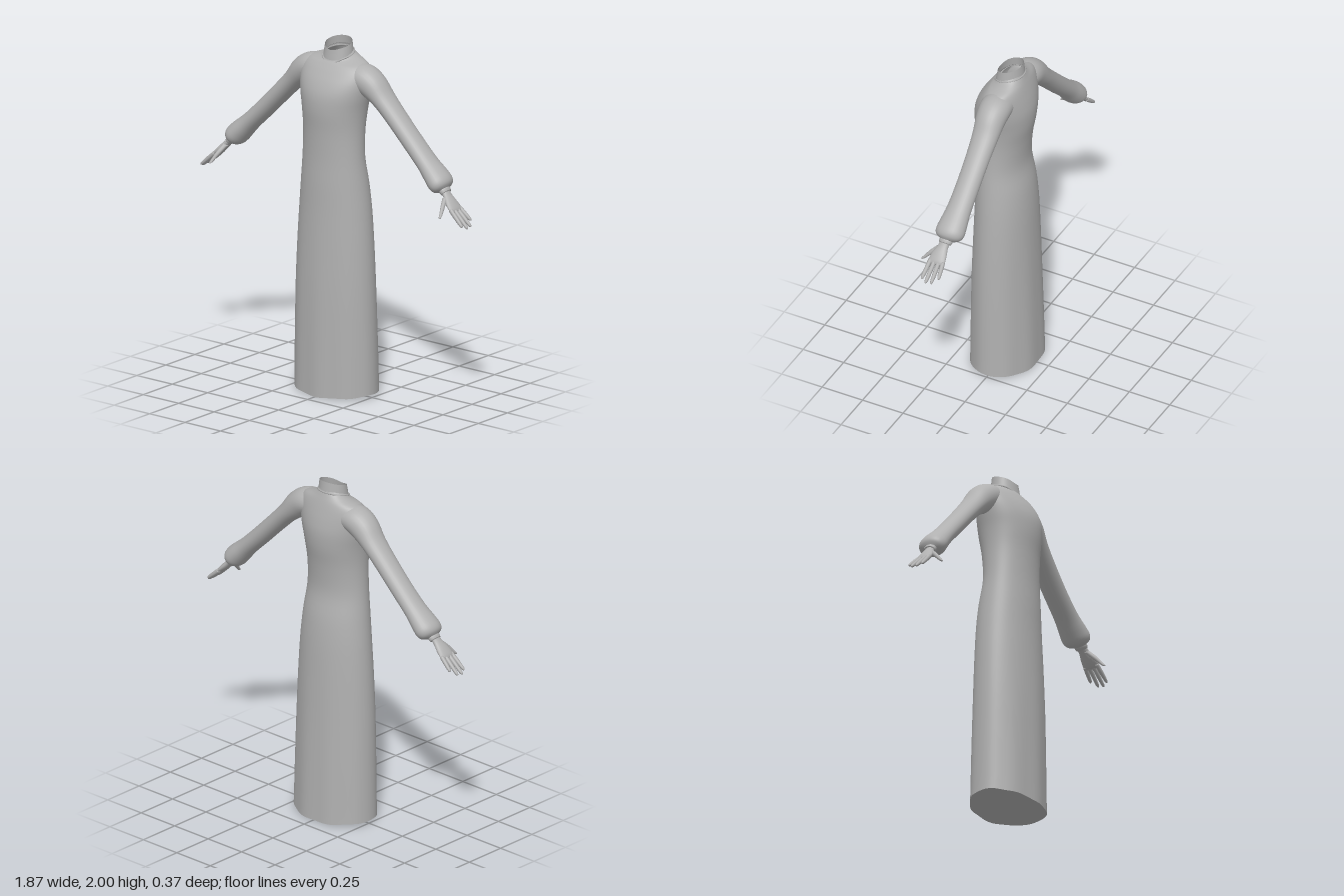
import * as THREE from 'three';

const cloth = new THREE.MeshStandardMaterial({ color: 0xb0b0b0, side: THREE.DoubleSide });
cloth.name = 'plain grey';

// Catmull-Rom blend between q and r
function blend(p, q, r, s, t) {
  const cubic = 3 * (q - r) + s - p;
  const square = 2 * p - 5 * q + 4 * r - s;
  return q + 0.5 * t * (r - p + t * (square + t * cubic));
}

// Smooth rows of numbers column by column
function smooth(rows, steps = 4) {
  const out = [], last = rows.length - 1;
  for (let i = 0; i < last; i++) {
    const p = rows[Math.max(0, i - 1)], q = rows[i], r = rows[i + 1], s = rows[Math.min(last, i + 2)];
    for (let k = 0; k < steps; k++) {
      out.push(q.map((v, c) => blend(p[c], v, r[c], s[c], k / steps)));
    }
  }
  out.push(rows[last]);
  return out;
}

// Skin closed rings of [x, y, z] points; side = -1 mirrors in x
function loft(name, rings, { side = 1, caps = false } = {}) {
  const n = rings[0].length, pos = [], index = [];
  const tri = (a, b, c) => (side > 0 ? index.push(a, b, c) : index.push(a, c, b));
  rings.forEach((ring) => ring.forEach(([x, y, z]) => pos.push(x * side, y, z)));
  for (let i = 0; i < rings.length - 1; i++) {
    for (let j = 0; j < n; j++) {
      const a = i * n + j, b = i * n + (j + 1) % n;
      tri(a, a + n, b);
      tri(b, a + n, b + n);
    }
  }
  if (caps) {
    [0, rings.length - 1].forEach((i) => {
      const c = pos.length / 3;
      const mid = [0, 1, 2].map((k) => rings[i].reduce((sum, p) => sum + p[k], 0) / n);
      pos.push(mid[0] * side, mid[1], mid[2]);
      for (let j = 0; j < n; j++) {
        const a = i * n + j, b = i * n + (j + 1) % n;
        if (i === 0) tri(c, a, b); else tri(c, b, a);
      }
    });
  }
  const g = new THREE.BufferGeometry();
  g.setAttribute('position', new THREE.Float32BufferAttribute(pos, 3));
  g.setIndex(index);
  g.computeVertexNormals();
  const mesh = new THREE.Mesh(g, cloth);
  mesh.name = name;
  return mesh;
}

// Limb along rows of [x, y, z, half thickness, half width in z]
function limb(name, rows, side, n = 20) {
  const path = smooth(rows);
  const rings = path.map(([x, y, z, a, b], i) => {
    const p = path[Math.max(0, i - 1)], q = path[Math.min(path.length - 1, i + 1)];
    const dx = q[0] - p[0], dy = q[1] - p[1], len = Math.hypot(dx, dy);
    return Array.from({ length: n }, (_, j) => {
      const t = (j / n) * Math.PI * 2, u = a * Math.cos(t);
      return [x + (u * dy) / len, y - (u * dx) / len, z + b * Math.sin(t)];
    });
  });
  return loft(name, rings, { side, caps: true });
}

const SIDES = 64;
const angles = Array.from({ length: SIDES }, (_, j) => (j / SIDES) * Math.PI * 2);

// Gown section: height, half width, front z, back z, tilt towards the front
function gownRing([y, w, zf, zb, tilt]) {
  const hem = Math.max(0, 1 - y / 1.1);
  return angles.map((t) => {
    const ripple = 1 + 0.016 * hem * Math.sin(9 * t + 0.6) * Math.abs(Math.sin(t));
    const lift = y < 0.01 ? 0.018 * Math.cos(t) ** 2 + 0.002 * (1 + Math.sin(7 * t)) : 0;
    return [
      w * ripple * Math.cos(t),
      y + lift - tilt * Math.sin(t),
      (zf + zb) / 2 + ((zf - zb) / 2) * ripple * Math.sin(t),
    ];
  });
}

// Point on the neckline; v runs from collar seam (0) to collar edge (1)
function collarPoint(t, v, grow = 0) {
  const front = Math.max(0, Math.sin(t)) ** 6;
  const y = 1.922 + 0.058 * v - 0.02 * Math.sin(t) - 0.018 * front * (1 - 0.4 * v);
  return [
    (0.086 - 0.007 * v + grow) * Math.cos(t),
    y,
    -0.016 - 0.002 * v + (0.078 - 0.009 * v + grow) * Math.sin(t),
  ];
}

export function createModel() {
  const model = new THREE.Group();
  model.name = 'longGown';

  // Gown from hem to neck
  const rings = smooth([
    [0, 0.258, 0.187, -0.184, 0],
    [0.3, 0.253, 0.184, -0.176, 0],
    [0.6, 0.246, 0.18, -0.167, 0],
    [0.85, 0.235, 0.173, -0.16, 0],
    [1.05, 0.221, 0.167, -0.153, 0],
    [1.2, 0.206, 0.165, -0.14, 0],
    [1.35, 0.19, 0.161, -0.115, 0],
    [1.5, 0.185, 0.165, -0.125, 0],
    [1.62, 0.194, 0.175, -0.146, 0],
    [1.71, 0.212, 0.17, -0.152, 0],
    [1.78, 0.225, 0.145, -0.143, 0],
    [1.84, 0.225, 0.108, -0.128, 0.002],
    [1.878, 0.195, 0.082, -0.115, 0.008],
    [1.9, 0.135, 0.07, -0.104, 0.017],
    [1.915, 0.1, 0.062, -0.096, 0.024],
    [1.932, 0.083, 0.056, -0.09, 0.026],
  ]).map(gownRing);
  model.add(loft('gown', rings));

  // Closed underside of the hem
  const centre = rings[0].map(() => [0, 0.012, 0]);
  model.add(loft('hemBase', [centre, rings[0]]));

  // Stand collar with a dipped front, and piping at its seam
  model.add(loft('collar', [0, 0.5, 1].map((v) => angles.map((t) => collarPoint(t, v)))));
  const seam = angles.map((t) => {
    const [x, y, z] = collarPoint(t, 0, 0.003);
    return new THREE.Vector3(x, y - 0.012 * Math.max(0, Math.sin(t)) ** 4, z);
  });
  const piping = new THREE.Mesh(
    new THREE.TubeGeometry(new THREE.CatmullRomCurve3(seam, true), 96, 0.005, 6, true), cloth);
  piping.name = 'collarPiping';
  model.add(piping);

  for (const side of [1, -1]) {
    const arm = new THREE.Group();
    arm.name = side > 0 ? 'leftArm' : 'rightArm';

    // Sleeve with a gathered end
    arm.add(limb('sleeve', [
      [0.11, 1.812, -0.02, 0.07, 0.085],
      [0.18, 1.808, -0.02, 0.08, 0.09],
      [0.245, 1.772, -0.022, 0.077, 0.084],
      [0.315, 1.707, -0.027, 0.058, 0.075],
      [0.4, 1.623, -0.028, 0.053, 0.069],
      [0.52, 1.503, -0.028, 0.052, 0.067],
      [0.62, 1.407, -0.026, 0.052, 0.07],
      [0.68, 1.35, -0.024, 0.059, 0.08],
      [0.716, 1.314, -0.022, 0.061, 0.083],
      [0.737, 1.293, -0.02, 0.05, 0.068],
      [0.748, 1.282, -0.018, 0.026, 0.036],
    ], side, 28));
    arm.add(limb('cuff', [
      [0.738, 1.292, -0.017, 0.025, 0.036],
      [0.75, 1.28, -0.016, 0.028, 0.039],
      [0.762, 1.268, -0.015, 0.024, 0.035],
    ], side));

    // Hand
    arm.add(limb('palm', [
      [0.75, 1.28, -0.015, 0.02, 0.029],
      [0.775, 1.253, -0.01, 0.018, 0.031],
      [0.805, 1.222, -0.005, 0.019, 0.044],
      [0.835, 1.192, -0.004, 0.015, 0.049],
      [0.848, 1.179, -0.004, 0.008, 0.044],
    ], side));
    const fingers = [
      [0.034, 0.922, 1.113, 0.043],
      [0.009, 0.936, 1.101, 0.014],
      [-0.017, 0.932, 1.105, -0.019],
      [-0.041, 0.906, 1.129, -0.051],
    ];
    fingers.forEach(([z, x1, y1, z1]) => {
      const at = (f, r) => [0.832 + (x1 - 0.832) * f, 1.194 + (y1 - 1.194) * f, z + (z1 - z) * f, r, r];
      const rows = [at(0, 0.012), at(0.4, 0.012), at(0.8, 0.01), at(0.95, 0.007), at(1, 0.002)];
      arm.add(limb('finger', rows, side, 10));
    });
    arm.add(limb('thumb', [
      [0.772, 1.25, 0.01, 0.014, 0.016],
      [0.788, 1.215, 0.045, 0.013, 0.017],
      [0.8, 1.185, 0.073, 0.01, 0.013],
      [0.808, 1.162, 0.095, 0.008, 0.009],
      [0.81, 1.155, 0.102, 0.002, 0.003],
    ], side, 12));
    model.add(arm);
  }
  return model;
}
